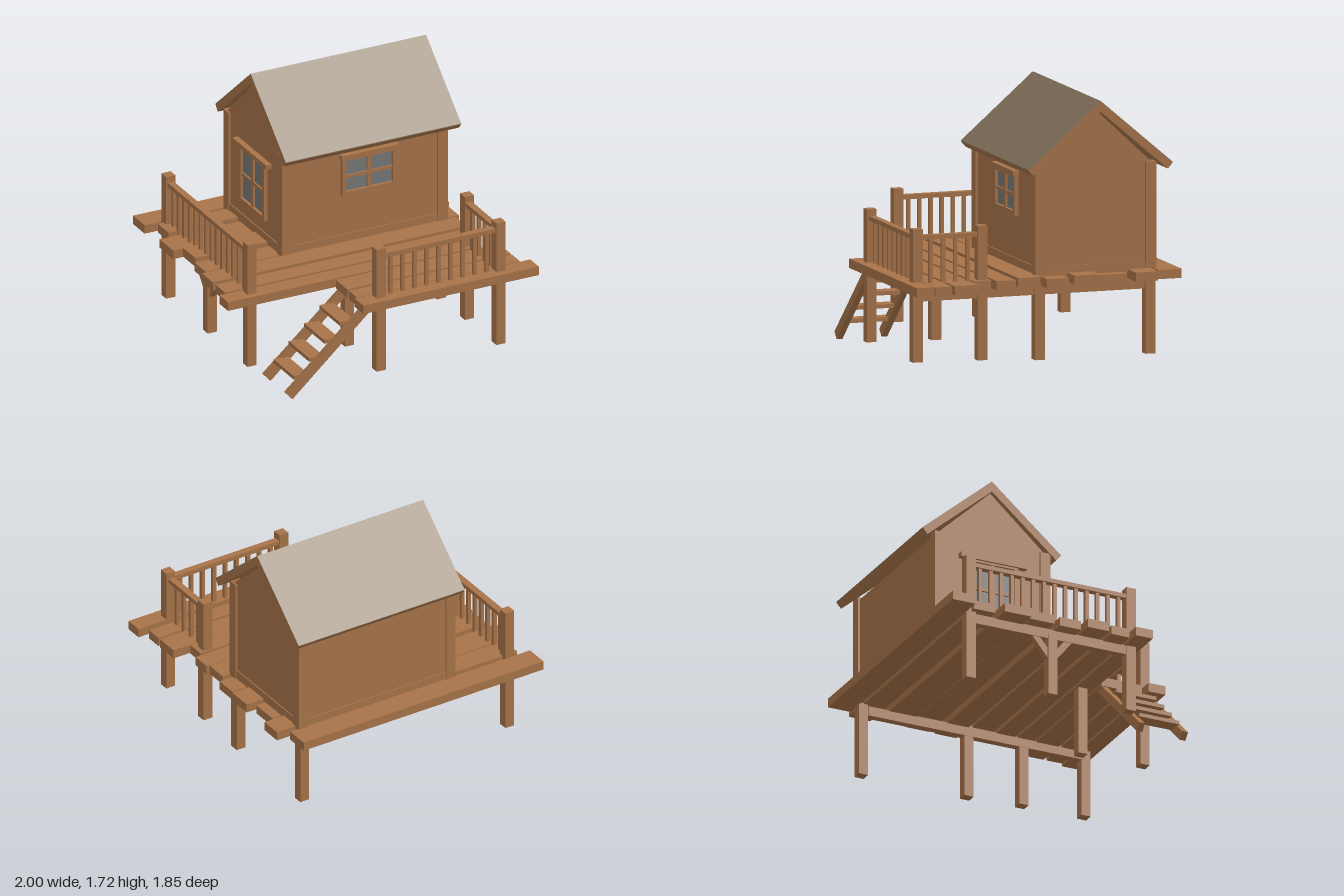
import * as THREE from 'three';

const wood = new THREE.MeshStandardMaterial({ color: 0xa87449 });
wood.name = 'wood';
const shingle = new THREE.MeshStandardMaterial({ color: 0x8b7a62 });
shingle.name = 'roofing';
const glass = new THREE.MeshStandardMaterial({ color: 0x777a7a });
glass.name = 'glass';

export function createModel() {
  const model = new THREE.Group();
  model.name = 'stiltPlayhouse';

  const group = (name, parent = model) => {
    const g = new THREE.Group();
    g.name = name;
    parent.add(g);
    return g;
  };
  const add = (parent, name, geo, mat = wood) => {
    const m = new THREE.Mesh(geo, mat);
    m.name = name;
    parent.add(m);
    return m;
  };
  // Box given by its limits on each axis
  const box = (parent, name, [x0, x1], [y0, y1], [z0, z1], mat = wood) => {
    const m = add(parent, name, new THREE.BoxGeometry(x1 - x0, y1 - y0, z1 - z0), mat);
    m.position.set((x0 + x1) / 2, (y0 + y1) / 2, (z0 + z1) / 2);
    return m;
  };
  const around = (c, w) => [c - w / 2, c + w / 2];
  const extrude = (pts, depth) => new THREE.ExtrudeGeometry(
    new THREE.Shape(pts.map(([a, b]) => new THREE.Vector2(a, b))), { depth, bevelEnabled: false });
  // Profile in (z, y) swept from x0 to x1
  const sweepX = (parent, name, pts, x0, x1, mat = wood) => {
    const geo = extrude(pts.map(([z, y]) => [-z, y]), x1 - x0);
    geo.rotateY(Math.PI / 2).translate(x0, 0, 0);
    return add(parent, name, geo, mat);
  };

  // Uneven deck planks: x limits, z limits, top height
  const deck = group('deck');
  [
    [-0.96, 0.86, -0.93, -0.77, 0.6], [-0.88, 0.94, -0.74, -0.59, 0.605],
    [-0.96, 0.86, -0.56, -0.37, 0.59], [-0.9, 0.92, -0.35, -0.18, 0.605],
    [-0.92, 0.9, -0.15, 0.0, 0.59], [-0.96, 0.86, 0.03, 0.18, 0.6],
    [-0.95, 0.87, 0.2, 0.33, 0.59], [-1, 0.82, 0.35, 0.47, 0.59],
    [-0.23, 0.94, 0.48, 0.64, 0.585], [-0.23, 0.94, 0.66, 0.77, 0.585],
    [-0.26, 1, 0.8, 0.92, 0.597],
  ].forEach(([x0, x1, z0, z1, top]) =>
    box(deck, 'plank', [x0, x1], [top - 0.06, top], [z0, z1]));

  // Legs, some of them running up as railing posts: x, z, foot, top
  const legs = group('legs');
  [
    [-0.805, -0.74, 0.08, 0.94], [-0.805, -0.16, 0.08, 0.5], [-0.805, 0.395, 0.08, 0.94],
    [-0.105, 0.395, 0.07, 0.55], [-0.105, 0.835, 0.08, 0.94],
    [0.755, -0.745, 0.05, 0.55], [0.755, 0.005, 0.05, 0.55],
    [0.755, 0.395, 0.07, 0.94], [0.755, 0.835, 0.08, 0.94],
  ].forEach(([x, z, y0, y1]) =>
    box(legs, 'leg', around(x, 0.066), [y0, y1], around(z, 0.066)));

  // Beams under the planks and the braces of the middle left leg
  box(legs, 'leftBeam', around(-0.805, 0.05), [0.47, 0.535], [-0.71, 0.395]);
  box(legs, 'rightBeam', around(0.745, 0.05), [0.47, 0.535], [-0.71, 0.835]);
  for (const s of [-1, 1]) {
    const brace = [[0.02, 0.32], [0.14, 0.47], [0.085, 0.47], [0.02, 0.39]];
    const pts = brace.map(([d, y]) => [-0.16 + s * d, y]);
    sweepX(legs, 'brace', pts, -0.825, -0.785);
  }

  // Railings: top rail and evenly spaced balusters between two posts
  const railing = (name, ax, az, bx, bz, count) => {
    const g = group(name);
    const alongX = ax !== bx;
    box(g, 'topRail', alongX ? [ax, bx] : around(ax, 0.045), [0.868, 0.897],
      alongX ? around(az, 0.045) : [az, bz]);
    for (let i = 1; i <= count; i++) {
      const t = i / (count + 1);
      box(g, 'baluster', around(ax + (bx - ax) * t, 0.024), [0.57, 0.87],
        around(az + (bz - az) * t, 0.024));
    }
  };
  railing('leftRailing', -0.805, -0.74, -0.805, 0.395, 14);
  railing('frontRailing', -0.105, 0.83, 0.755, 0.83, 9);
  railing('rightRailing', 0.75, 0.4, 0.75, 0.82, 4);

  // Ladder
  const ladder = group('ladder');
  for (const z of [0.49, 0.795]) {
    const side = extrude([[-0.765, 0.045], [-0.725, 0], [-0.135, 0.53], [-0.215, 0.53]], 0.04);
    add(ladder, 'stringer', side.translate(0, 0, z));
  }
  for (let i = 0; i < 4; i++) {
    const x = -0.7 + i * 0.11, y = 0.12 + i * 0.103;
    box(ladder, 'step', [x, x + 0.1], [y, y + 0.025], [0.52, 0.805]);
  }

  // House body, corner posts and base trim
  const house = group('house');
  sweepX(house, 'walls',
    [[0.022, 0.585], [0.022, 1.28], [-0.38, 1.64], [-0.765, 1.28], [-0.765, 0.585]], -0.375, 0.785);
  for (const x of [-0.355, 0.765])
    for (const z of [0.005, -0.745])
      box(house, 'cornerPost', around(x, 0.07), [0.585, 1.295], around(z, 0.07));
  box(house, 'baseTrim', [-0.382, 0.792], [0.585, 0.652], [-0.772, 0.03]);

  // Roof slab with a thin covering on each slope
  const ridge = 1.71, pitch = 0.857, run = 0.49;
  const slope = d => ridge - pitch * d;
  const roof = group('roof', house);
  const eave = run - 0.033, drop = 0.066;
  sweepX(roof, 'roofSlab', [
    [-0.38 + run, slope(run)], [-0.38, ridge], [-0.38 - run, slope(run)],
    [-0.38 - eave, slope(eave) - drop], [-0.38, ridge - drop], [-0.38 + eave, slope(eave) - drop],
  ], -0.4, 0.86);
  for (const s of [-1, 1])
    sweepX(roof, 'roofCovering', [
      [-0.38, ridge], [-0.38 + s * run, slope(run)],
      [-0.38 + s * run, slope(run) + 0.005], [-0.38, ridge + 0.005],
    ], -0.4, 0.86, shingle);

  // Window built facing +z, centred on x with its sill at y = 0
  const makeWindow = (name, w, h, capW) => {
    const g = group(name, house);
    const f = 0.028;
    box(g, 'pane', around(0, w - f), [f / 2, h - f / 2], [0, 0.006], glass);
    for (const s of [-1, 1])
      box(g, 'jamb', around(s * (w - f) / 2, f), [0, h], [0, 0.025]);
    box(g, 'sill', around(0, w), [0, f], [0, 0.026]);
    box(g, 'head', around(0, w), [h - f / 2, h], [0, 0.026]);
    box(g, 'mullion', around(0, 0.026), [0, h], [0, 0.02]);
    box(g, 'crossbar', around(0, w - f), around(h / 2, 0.022), [0, 0.018]);
    box(g, 'cap', around(0, capW), [h, h + 0.032], [0, 0.04]);
    return g;
  };
  makeWindow('frontWindow', 0.39, 0.26, 0.41).position.set(0.235, 0.93, 0.022);
  const sideWindow = makeWindow('leftWindow', 0.36, 0.39, 0.47);
  sideWindow.position.set(-0.375, 0.75, -0.37);
  sideWindow.rotation.y = -Math.PI / 2;

  return model;
}
